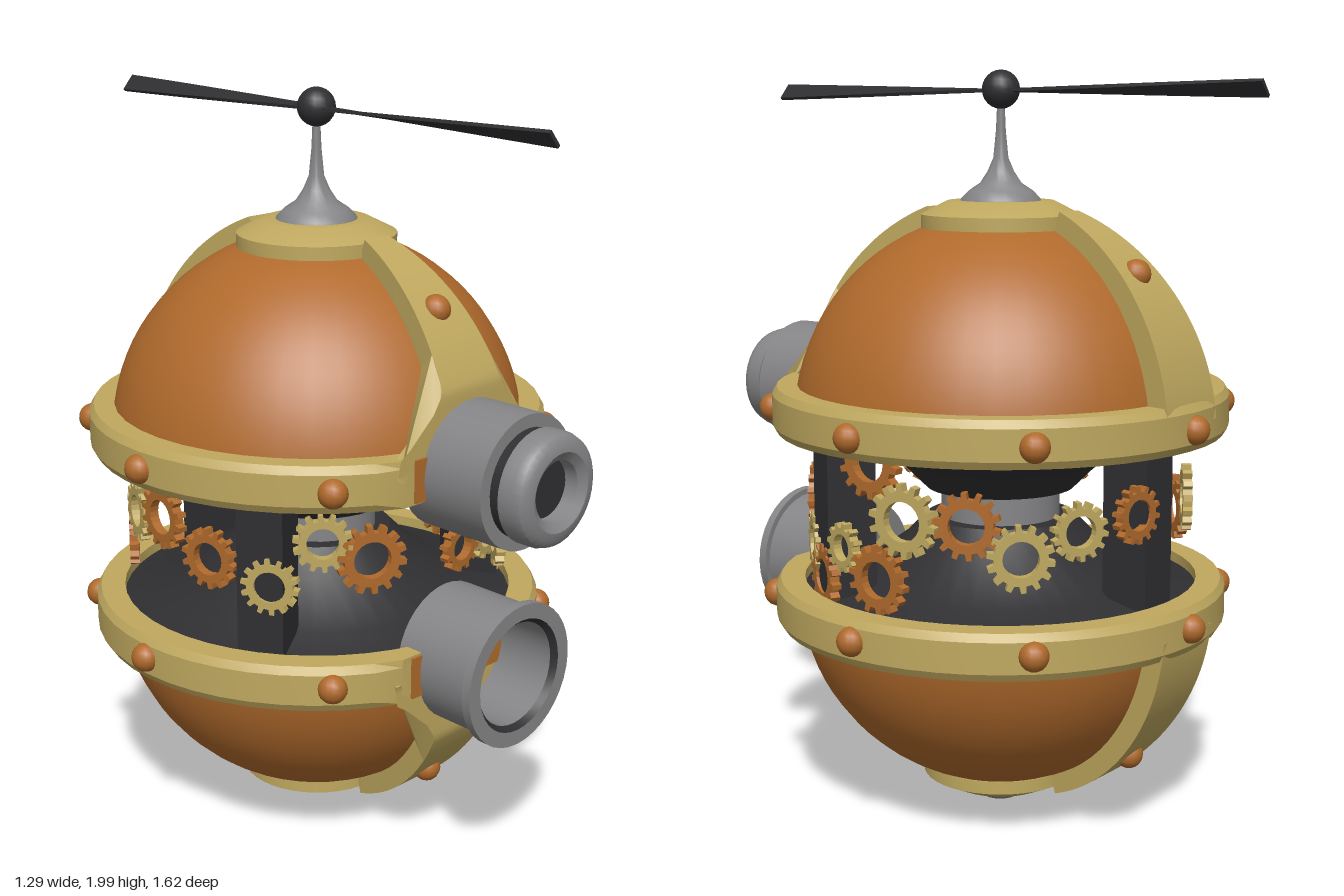
import * as THREE from 'three';
import { toCreasedNormals } from 'three/addons/utils/BufferGeometryUtils.js';

const material = (name, color) => {
  const m = new THREE.MeshStandardMaterial({ color });
  m.name = name;
  return m;
};

export function createModel() {
  const copper = material('copper', 0xb06a2c);
  const brass = material('brass', 0xbfa85f);
  const steel = material('steel', 0x858587);
  const dark = material('dark iron', 0x2f2f32);

  const model = new THREE.Group();
  model.name = 'flyingOrb';
  // Everything shares one vertical axis, slightly behind the centre
  const body = new THREE.Group();
  body.name = 'body';
  body.position.z = -0.03;
  model.add(body);

  const add = (parent, name, geometry, mat, x = 0, y = 0, z = 0) => {
    const mesh = new THREE.Mesh(geometry, mat);
    mesh.name = name;
    mesh.position.set(x, y, z);
    parent.add(mesh);
    return mesh;
  };
  // Move every vertex by a rule
  const warp = (geometry, rule) => {
    const p = geometry.attributes.position;
    const v = new THREE.Vector3();
    for (let i = 0; i < p.count; i++) {
      rule(v.fromBufferAttribute(p, i));
      p.setXYZ(i, v.x, v.y, v.z);
    }
    geometry.computeVertexNormals();
    return geometry;
  };
  const lathe = (points, segments = 40) =>
    new THREE.LatheGeometry(points.map(([r, y]) => new THREE.Vector2(r, y)), segments);
  const turned = (points, segments) => toCreasedNormals(lathe(points, segments), 0.6);
  const FRONT = 0.55; // flat face that carries the barrels
  const CY = 1.07;    // centre height of the upper dome

  // Curved strap that widens away from the axis, optionally flaring at its foot
  const strapGeometry = (flared) => {
    const shape = new THREE.Shape();
    shape.absarc(0, CY, 0.6, 0.08, 1.2, false);
    shape.absarc(0, CY, 0.535, 1.2, 0.08, true);
    const g = new THREE.ExtrudeGeometry(shape, { depth: 2, bevelEnabled: false, curveSegments: 18 });
    warp(g, (v) => {
      const side = v.z - 1;
      const foot = flared ? Math.max(0, (1.34 - v.y) / 0.17) : 0;
      const width = v.x * 0.19 + 0.14 * Math.min(1, foot * foot);
      v.set(-side * width, v.y, flared ? Math.min(v.x, FRONT) : v.x);
    });
    return toCreasedNormals(g, 0.5);
  };

  // One half of the shell, used upright and turned over
  const buildHalf = (name) => {
    const half = new THREE.Group();
    half.name = name;
    const arc = [];
    for (let i = 0; i <= 16; i++) {
      const a = (i / 16) * 1.25;
      arc.push([0.55 * Math.cos(a), CY + 0.55 * Math.sin(a)]);
    }
    add(half, 'dome', lathe(arc), copper);
    add(half, 'innerCone', turned([[0, 0.89], [0.2, 0.89], [0.26, 0.95], [0.4, 1.05], [0.54, 1.08]]), dark);

    const rim = lathe([[0.53, 1.05], [0.595, 1.05], [0.607, 1.07], [0.607, 1.15],
      [0.595, 1.17], [0.53, 1.17], [0.53, 1.05]], 48);
    warp(rim, (v) => { v.z = Math.min(v.z, FRONT); });
    add(half, 'rim', toCreasedNormals(rim, 0.4), brass);
    add(half, 'mountPlate', new THREE.BoxGeometry(0.4, 0.11, 0.008), copper, 0, 1.11, FRONT + 0.003);

    add(half, 'frontStrap', strapGeometry(true), brass);
    add(half, 'backStrap', strapGeometry(false), brass).rotation.y = Math.PI;
    add(half, 'poleCap', turned([[0.17, 1.58], [0.21, 1.58], [0.21, 1.615], [0.14, 1.65],
      [0.1, 1.65], [0, 1.64]]), brass);

    // Rivets around the rim and on the two straps
    const rivet = new THREE.SphereGeometry(0.038, 14, 10);
    for (const deg of [40, 90, 135, 180, 225, 270, 320]) {
      const a = THREE.MathUtils.degToRad(deg);
      add(half, 'rimRivet', rivet, copper, 0.605 * Math.sin(a), 1.105, 0.605 * Math.cos(a));
    }
    for (const s of [1, -1]) add(half, 'strapRivet', rivet, copper, 0, 1.48, s * 0.425);
    body.add(half);
    return half;
  };
  buildHalf('upperShell');
  const lower = buildHalf('lowerShell');
  lower.rotation.z = Math.PI;
  lower.position.y = 1.7;

  // Core and the three posts that join the halves
  add(body, 'core', new THREE.CylinderGeometry(0.16, 0.16, 0.1, 28), steel, 0, 0.85, 0);
  for (const deg of [60, 180, 300]) {
    const a = THREE.MathUtils.degToRad(deg);
    add(body, 'post', new THREE.BoxGeometry(0.12, 0.46, 0.13), dark,
      0.44 * Math.sin(a), 0.85, 0.44 * Math.cos(a)).rotation.y = a;
  }

  // Toothed wheels around the gap: angle from the front, height, radius
  const gearGeometry = (radius) => {
    const shape = new THREE.Shape();
    const teeth = radius > 0.07 ? 14 : 12;
    const root = radius * 0.8;
    for (let i = 0; i < teeth; i++) {
      [[0, root], [0.4, root], [0.5, radius], [0.85, radius], [0.95, root]].forEach(([t, r], k) => {
        const a = ((i + t) / teeth) * Math.PI * 2;
        shape[i || k ? 'lineTo' : 'moveTo'](r * Math.cos(a), r * Math.sin(a));
      });
    }
    shape.closePath();
    const hole = new THREE.Path();
    hole.absarc(0, 0, radius * 0.54, 0, Math.PI * 2, true);
    shape.holes.push(hole);
    const g = new THREE.ExtrudeGeometry(shape, { depth: 0.025, bevelEnabled: false, curveSegments: 10 });
    return g.translate(0, 0, -0.0125);
  };
  const gears = [
    [3, 0.87, 0.065], [16, 0.87, 0.065], [35, 0.86, 0.085], [50, 0.755, 0.085], [62, 0.69, 0.085],
    [75, 0.79, 0.065], [90, 0.73, 0.09], [99, 0.89, 0.095], [118, 0.89, 0.085], [133, 0.81, 0.085],
    [170, 0.89, 0.075], [150, 0.87, 0.075], [232, 0.8, 0.09], [215, 0.86, 0.09], [265, 0.94, 0.085],
    [248, 0.91, 0.08], [284, 0.87, 0.08], [303, 0.82, 0.075], [332, 0.89, 0.09], [318, 0.94, 0.075],
  ];
  gears.forEach(([deg, y, r], i) => {
    const a = THREE.MathUtils.degToRad(deg);
    add(body, 'gear', gearGeometry(r), i % 2 ? brass : copper,
      0.5 * Math.sin(a), y, 0.5 * Math.cos(a)).rotation.y = a;
  });
  add(body, 'highGear', gearGeometry(0.095), copper, 0.47, 1.02, 0.05).rotation.y = Math.PI / 2;

  // Upper barrel with a rounded lens head
  const forward = (name, points, mat, y) => {
    add(body, name, turned(points, 36), mat, 0, y, 0).rotation.x = Math.PI / 2;
  };
  forward('eyeBarrel', [[0, 0.48], [0.172, 0.48], [0.172, 0.735], [0.13, 0.735]], steel, 1.107);
  forward('eyeNeck', [[0.138, 0.72], [0.138, 0.78]], dark, 1.107);
  forward('eyeHead', [[0.1, 0.765], [0.145, 0.765], [0.145, 0.805], [0.138, 0.825], [0.122, 0.837],
    [0.1, 0.84], [0.078, 0.825], [0.075, 0.78]], steel, 1.107);
  forward('eyePupil', [[0.078, 0.79], [0, 0.79]], dark, 1.107);

  // Lower barrel, an open tube with a flange
  forward('mouthBarrel', [[0, 0.48], [0.174, 0.48], [0.174, 0.71], [0.19, 0.71], [0.19, 0.735],
    [0.15, 0.735]], steel, 0.595);
  forward('mouthLiner', [[0.15, 0.735], [0.137, 0.72]], dark, 0.595);
  forward('mouthBore', [[0.137, 0.72], [0.137, 0.52], [0, 0.52]], steel, 0.595);

  // Mast, hub and bottom plug
  add(body, 'mast', turned([[0.11, 1.64], [0.105, 1.655], [0.085, 1.675], [0.055, 1.695], [0.035, 1.725],
    [0.02, 1.76], [0.013, 1.83], [0.009, 1.92]], 24), steel);
  add(body, 'hub', new THREE.SphereGeometry(0.05, 18, 12), dark, 0, 1.935, 0);
  add(body, 'bottomPlug', turned([[0, 0], [0.05, 0.008], [0.085, 0.03], [0.1, 0.065]], 24), steel);

  // Twisted rotor blades
  for (const turn of [0, Math.PI]) {
    const g = new THREE.BoxGeometry(0.042, 0.008, 0.775, 1, 1, 10).translate(0, 0, 0.3875);
    warp(g, (v) => {
      const t = v.z / 0.775;
      const a = -0.85 * t;
      const { x, y } = v;
      const s = 1 + 0.2 * t;
      v.x = (x * Math.cos(a) - y * Math.sin(a)) * s;
      v.y = (x * Math.sin(a) + y * Math.cos(a)) * s;
    });
    add(body, 'rotorBlade', toCreasedNormals(g, 0.6), dark, 0, 1.932, 0).rotation.y = turn;
  }
  return model;
}
